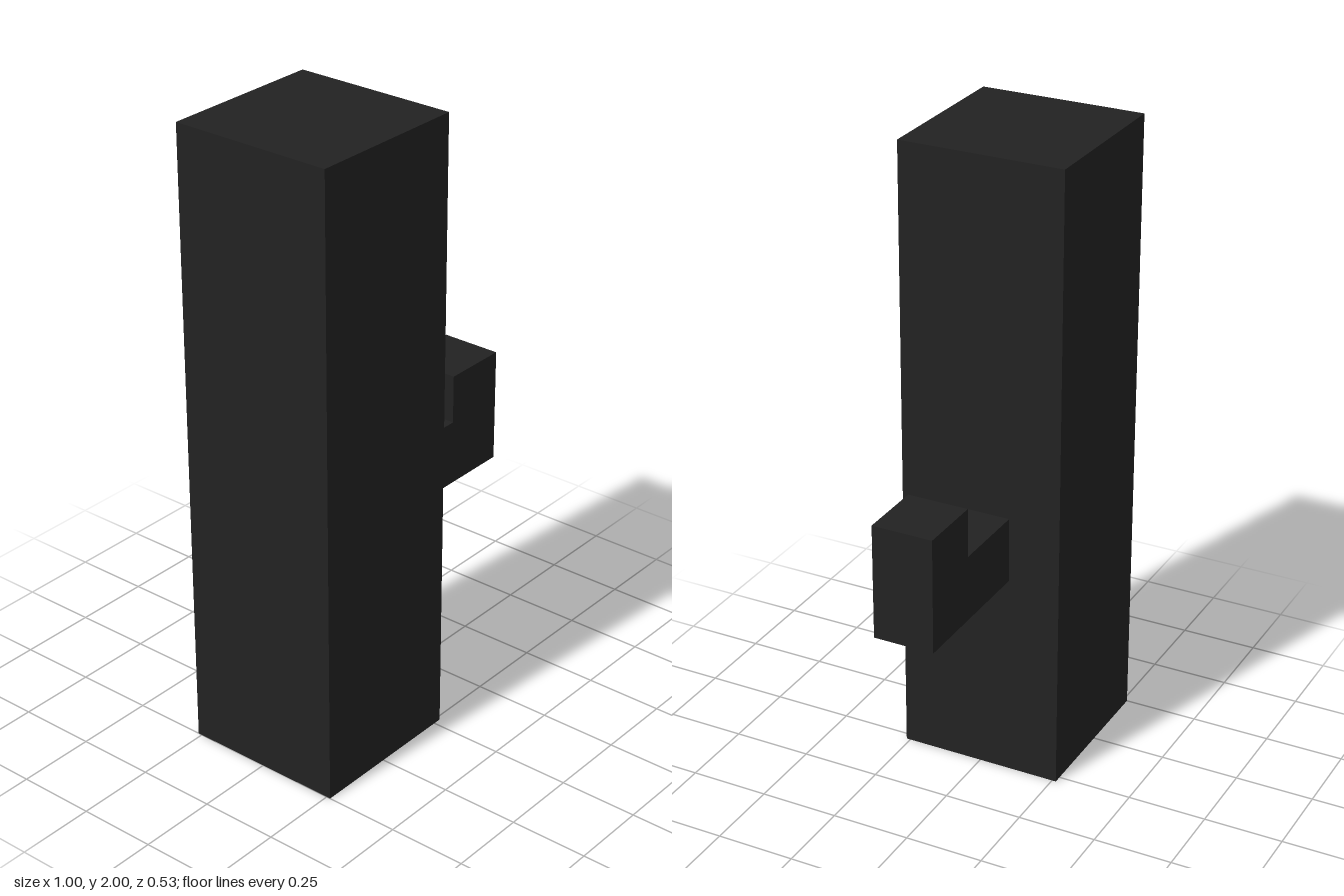
import * as THREE from 'three';

export function createModel() {
  const group = new THREE.Group();
  const black = new THREE.MeshStandardMaterial({ color: 0x222222, side: THREE.DoubleSide });
  black.name = 'charcoal black';

  // Hollow square column: closed on top, open underneath
  const box = new THREE.BoxGeometry(0.526, 2, 0.526);
  const index = Array.from(box.index.array);
  index.splice(18, 6); // drop the bottom face
  box.setIndex(index);
  box.clearGroups();
  const column = new THREE.Mesh(box, black);
  column.name = 'column';
  column.position.set(-0.237, 1, 0);
  group.add(column);

  // L-shaped hook standing out from the column's side
  const outline = new THREE.Shape([
    [0.026, 0.667], [0.5, 0.667], [0.5, 1.033],
    [0.287, 1.033], [0.287, 0.877], [0.026, 0.877],
  ].map(([x, y]) => new THREE.Vector2(x, y)));
  const depth = 0.194;
  const hook = new THREE.Mesh(
    new THREE.ExtrudeGeometry(outline, { depth, bevelEnabled: false }), black);
  hook.name = 'hook';
  hook.position.z = -depth / 2;
  group.add(hook);

  return group;
}
